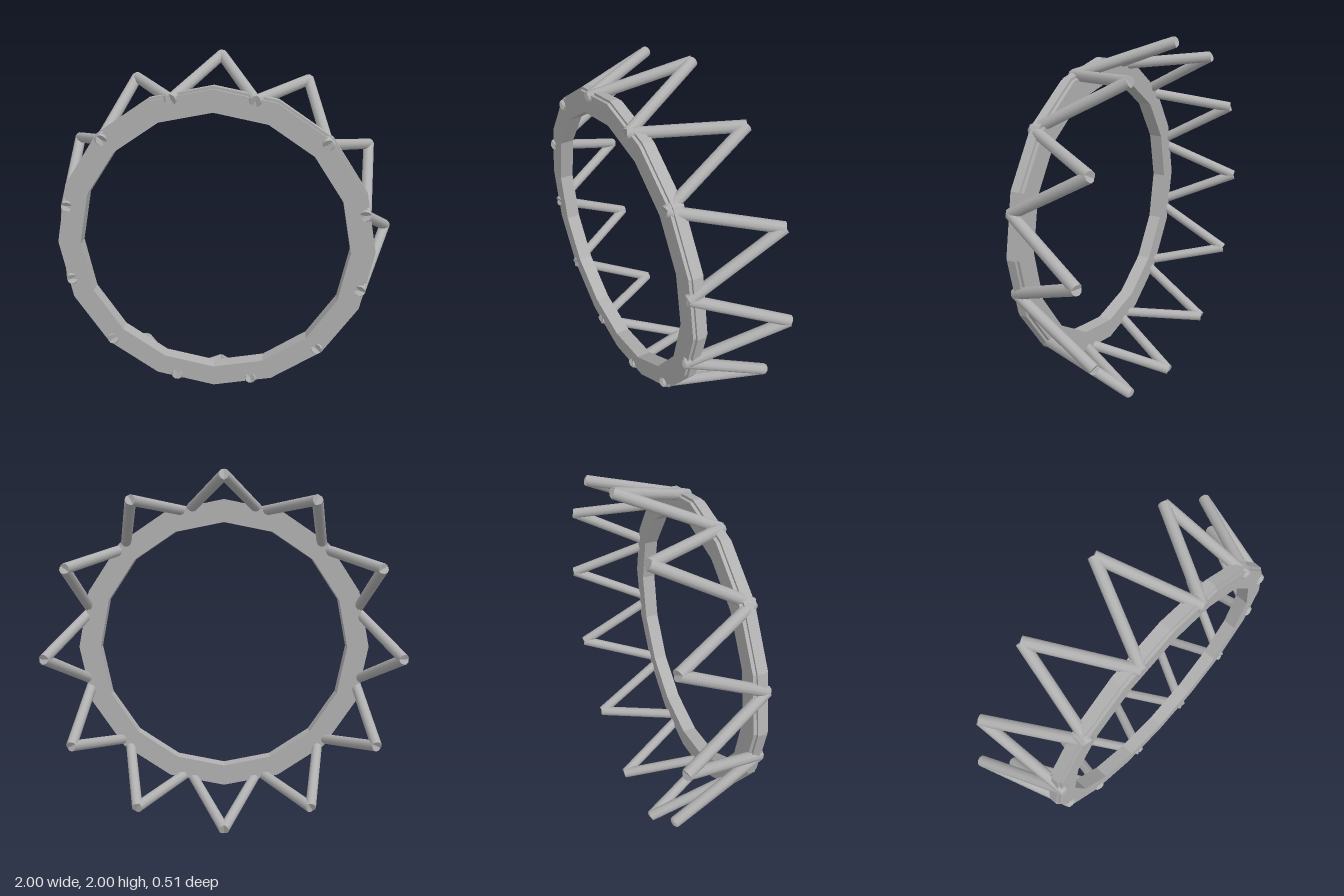
import * as THREE from 'three';

const PEAKS = 12, SIDES = 16;

// point on a circle around the z axis, angle measured from the top
const polar = (r, angle, z) =>
  new THREE.Vector3(r * Math.sin(angle), r * Math.cos(angle), z);

export function createModel() {
  const metal = new THREE.MeshStandardMaterial({ color: 0xb0b0b0 });
  metal.name = 'grey metal';

  const group = new THREE.Group();
  group.name = 'spikedCrownRing';

  // flat-faceted band with a raised rib around its rim
  const profile = [
    [0.735, 0.16], [0.852, 0.16], [0.852, 0.178], [0.866, 0.178],
    [0.866, 0.224], [0.852, 0.224], [0.852, 0.24], [0.735, 0.24], [0.735, 0.16],
  ].map(([r, z]) => new THREE.Vector2(r, z));
  const bandGeometry = new THREE.LatheGeometry(profile, SIDES)
    .rotateX(Math.PI / 2).toNonIndexed();
  bandGeometry.computeVertexNormals();
  const band = new THREE.Mesh(bandGeometry, metal);
  band.name = 'band';
  band.position.y = 1;
  group.add(band);

  // zigzag of rods: two lean together at every peak
  const zigzag = new THREE.Group();
  zigzag.name = 'zigzag';
  zigzag.position.y = 1;
  const step = (Math.PI * 2) / PEAKS;
  const length = polar(0.97, 0, -0.24).distanceTo(polar(0.825, step / 2, 0.24));
  const rodGeometry = new THREE.CylinderGeometry(0.03, 0.03, length, 10);
  for (let i = 0; i < PEAKS; i++) {
    for (const side of [-1, 1]) {
      const peak = polar(0.97, i * step, -0.24);
      const foot = polar(0.825, (i + side / 2) * step, 0.24);
      const rod = new THREE.Mesh(rodGeometry, metal);
      rod.name = 'rod';
      rod.position.copy(peak).add(foot).multiplyScalar(0.5);
      rod.quaternion.setFromUnitVectors(
        new THREE.Vector3(0, 1, 0), foot.sub(peak).normalize());
      zigzag.add(rod);
    }
  }
  group.add(zigzag);
  return group;
}
